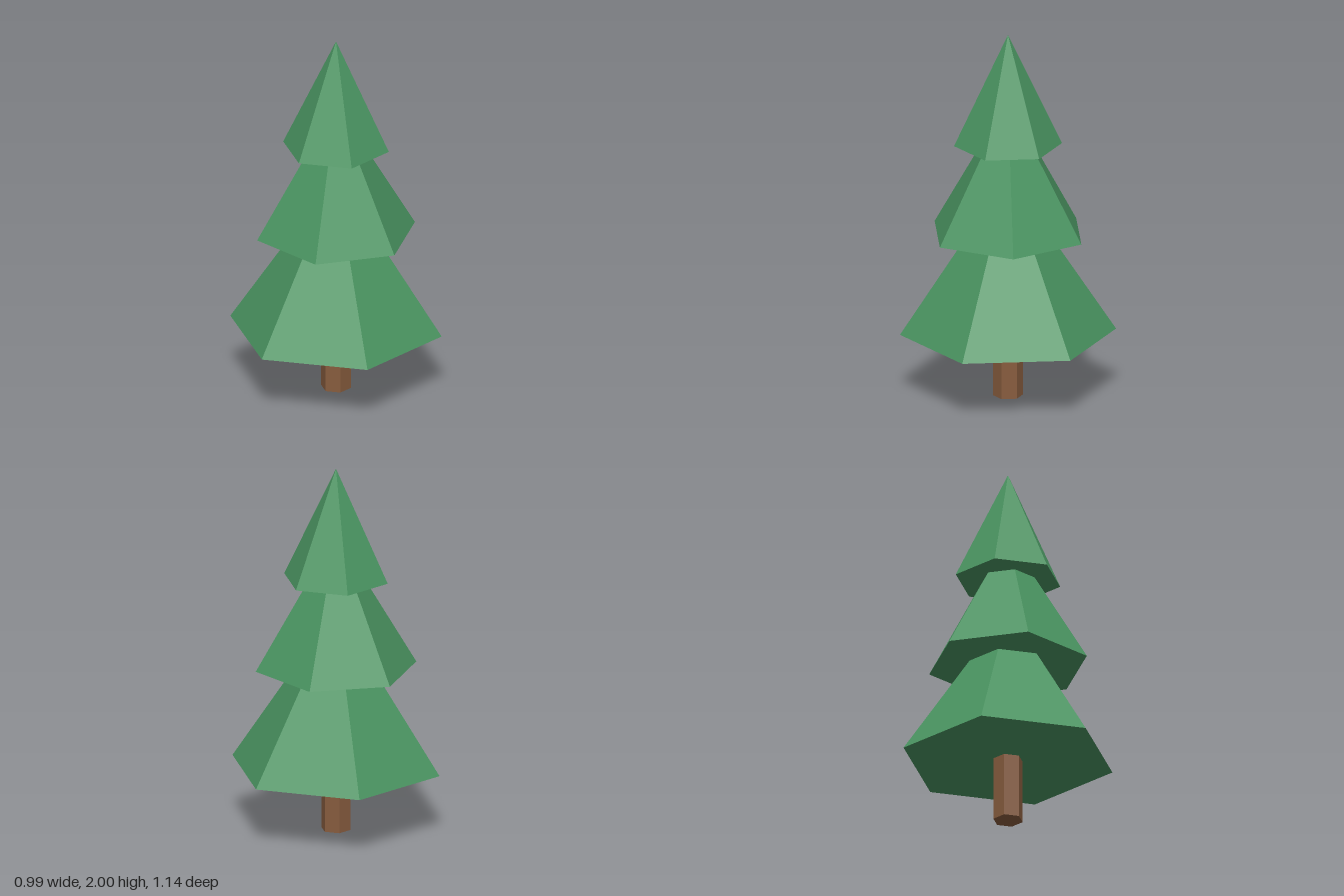
import * as THREE from 'three';

const SIDES = 6;

export function createModel() {
  const tree = new THREE.Group();
  tree.name = 'pineTree';

  const bark = new THREE.MeshStandardMaterial({ color: 0x875c3e });
  bark.name = 'bark brown';
  const needles = new THREE.MeshStandardMaterial({ color: 0x4a9461 });
  needles.name = 'needle green';
  bark.flatShading = needles.flatShading = true;

  // Hexagonal trunk, standing on the ground
  const trunk = new THREE.Mesh(new THREE.CylinderGeometry(0.08, 0.08, 0.36, SIDES), bark);
  trunk.name = 'trunk';
  trunk.position.y = 0.18;
  tree.add(trunk);

  // Three overlapping tiers of foliage, the middle one twisted
  const tiers = [
    { name: 'lowerFoliage', radius: 0.57, base: 0.35, height: 0.87, twist: 0 },
    { name: 'middleFoliage', radius: 0.43, base: 0.9, height: 0.74, twist: 0.5 },
    { name: 'upperFoliage', radius: 0.285, base: 1.39, height: 0.61, twist: 0 },
  ];
  for (const { name, radius, base, height, twist } of tiers) {
    const tier = new THREE.Mesh(new THREE.ConeGeometry(radius, height, SIDES), needles);
    tier.name = name;
    tier.position.y = base + height / 2;
    tier.rotation.y = twist;
    tree.add(tier);
  }

  return tree;
}
